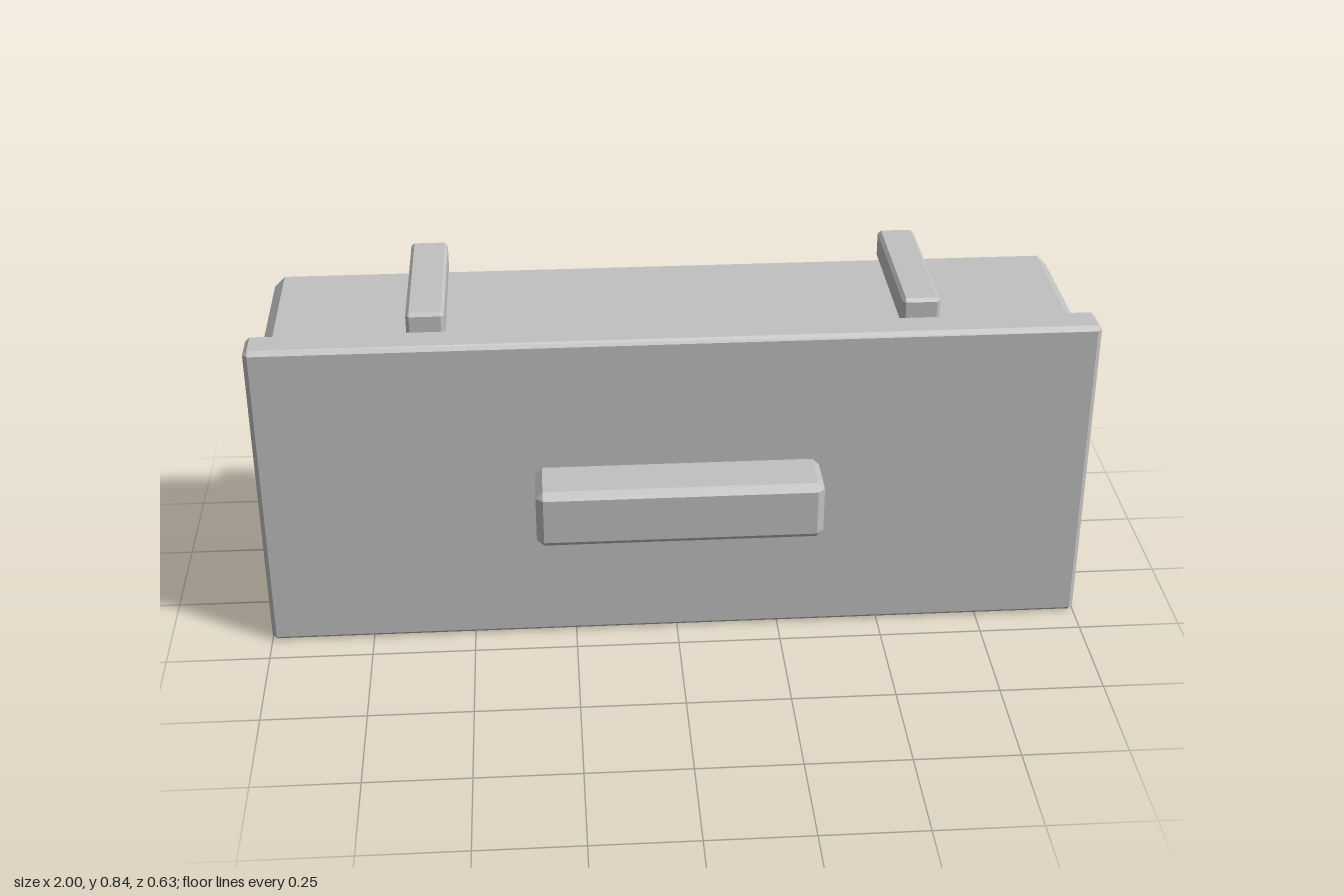
import * as THREE from 'three';
import { ConvexGeometry } from 'three/addons/geometries/ConvexGeometry.js';

// Box with every edge cut at 45 degrees and a small triangle at each corner.
function chamferedBox(w, h, d, c) {
  const points = [];
  for (const sx of [-1, 1]) for (const sy of [-1, 1]) for (const sz of [-1, 1]) {
    const x = w / 2, y = h / 2, z = d / 2;
    points.push(
      new THREE.Vector3(sx * x, sy * (y - c), sz * (z - c)),
      new THREE.Vector3(sx * (x - c), sy * y, sz * (z - c)),
      new THREE.Vector3(sx * (x - c), sy * (y - c), sz * z)
    );
  }
  return new ConvexGeometry(points);
}

export function createModel() {
  const group = new THREE.Group();
  group.name = 'drawer';
  const grey = new THREE.MeshStandardMaterial({ color: 0xc0c0c0 });
  grey.name = 'grey';

  // Adds a part from its centre x, width, y range, z range and chamfer.
  const add = (name, x, w, [y0, y1], [z0, z1], c) => {
    const mesh = new THREE.Mesh(chamferedBox(w, y1 - y0, z1 - z0, c), grey);
    mesh.name = name;
    mesh.position.set(x, (y0 + y1) / 2, (z0 + z1) / 2);
    group.add(mesh);
  };

  add('frontPanel', 0, 2, [0, 0.797], [0.085, 0.176], 0.011);
  add('drawerBody', 0, 1.94, [0.029, 0.77], [-0.315, 0.092], 0.026);
  add('handle', 0, 0.68, [0.326, 0.473], [0.168, 0.315], 0.017);

  // Rails resting on the top of the body
  for (const side of [-1, 1]) {
    add(side > 0 ? 'leftRail' : 'rightRail', side * 0.583, 0.09, [0.77, 0.843], [-0.315, 0.093], 0.008);
  }
  return group;
}
